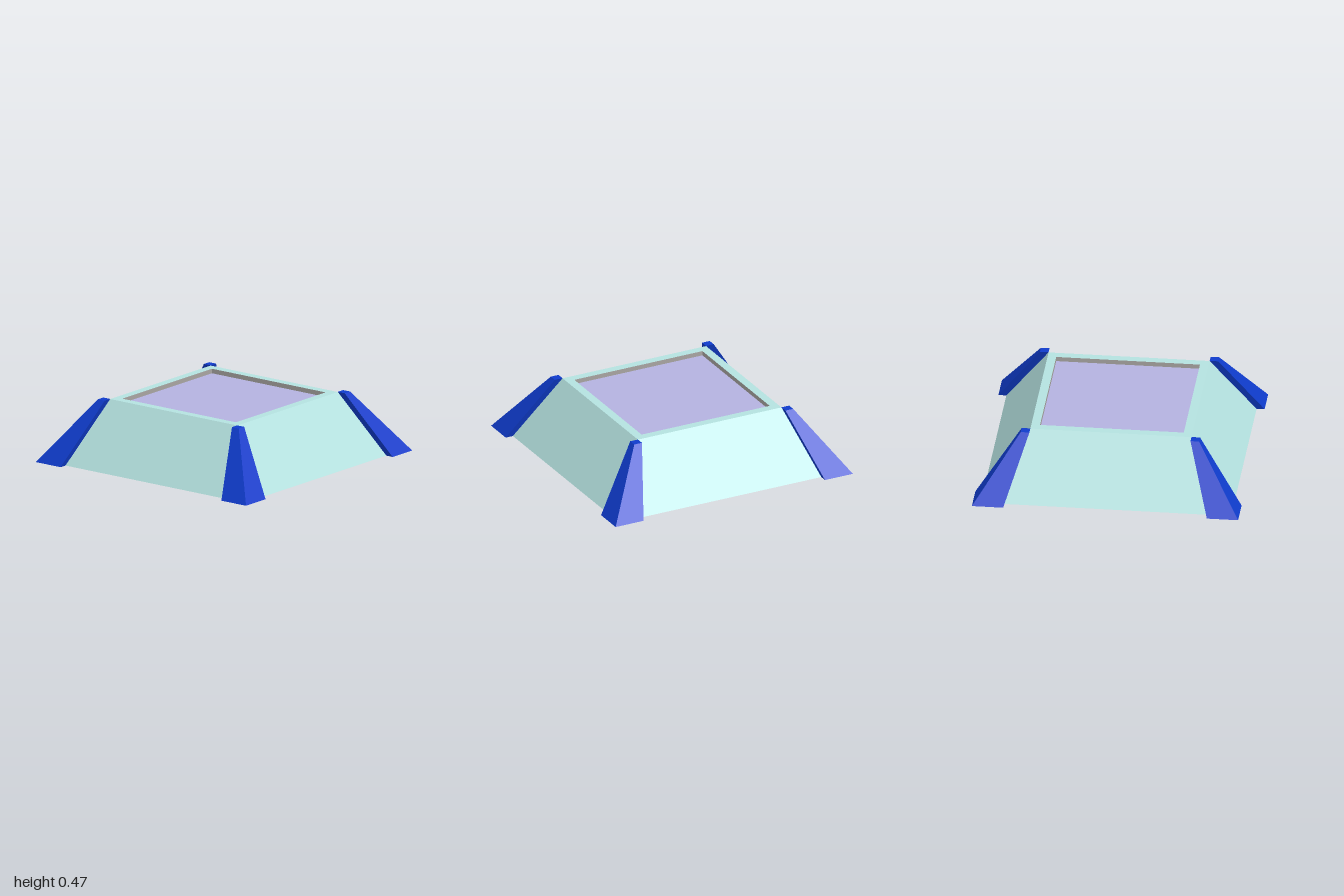
import * as THREE from 'three';

const HEIGHT = 0.47, TOP = 0.605, BASE = 0.94, INNER = 0.54, PANEL_Y = 0.435;

function material(name, color, side = THREE.FrontSide) {
  const m = new THREE.MeshStandardMaterial({ color, side });
  m.name = name;
  return m;
}

// Open four-sided ring of walls between two square outlines
function squareWalls(topHalf, bottomHalf, y0, y1) {
  const g = new THREE.CylinderGeometry(topHalf * Math.SQRT2, bottomHalf * Math.SQRT2, y1 - y0, 4, 1, true)
    .rotateY(Math.PI / 4)
    .translate(0, (y0 + y1) / 2, 0)
    .toNonIndexed();
  g.computeVertexNormals();
  return g;
}

// Square leg that narrows and leans inwards towards the top
function legGeometry(sx, sz) {
  const g = new THREE.BoxGeometry(2, 2, 2);
  const p = g.attributes.position;
  for (let i = 0; i < p.count; i++) {
    const up = p.getY(i) > 0;
    const centre = up ? 0.6375 : 0.8825;
    const half = up ? 0.0325 : 0.1175;
    p.setXYZ(i, sx * centre + p.getX(i) * half, up ? HEIGHT + 0.001 : 0, sz * centre + p.getZ(i) * half);
  }
  g.computeVertexNormals();
  return g;
}

export function createModel() {
  const model = new THREE.Group();
  const teal = material('pale teal', 0xb4e1df, THREE.DoubleSide);
  const blue = material('deep blue', 0x0f3bcb);
  const grey = material('warm grey', 0xa8a5a2, THREE.DoubleSide);
  const lilac = material('lilac', 0xb4b2df);

  const add = (name, geometry, mat) => {
    const mesh = new THREE.Mesh(geometry, mat);
    mesh.name = name;
    model.add(mesh);
  };

  // Sloping sheet walls
  add('slopingWalls', squareWalls(TOP, BASE, 0, HEIGHT), teal);

  // Flat rim around the recess
  const square = (h) => [[-h, -h], [h, -h], [h, h], [-h, h]].map(([x, y]) => new THREE.Vector2(x, y));
  const rim = new THREE.Shape(square(TOP));
  rim.holes.push(new THREE.Path(square(INNER).reverse()));
  add('topRim', new THREE.ShapeGeometry(rim).rotateX(-Math.PI / 2).translate(0, HEIGHT, 0), teal);

  // Recess sides and the sunken panel
  add('recessSides', squareWalls(INNER, INNER, PANEL_Y, HEIGHT), grey);
  add('sunkenPanel', new THREE.BoxGeometry(INNER * 2, 0.006, INNER * 2).translate(0, PANEL_Y - 0.003, 0), lilac);

  // Corner legs
  for (const sx of [-1, 1]) {
    for (const sz of [-1, 1]) {
      add(`${sz > 0 ? 'front' : 'back'}${sx > 0 ? 'Left' : 'Right'}Leg`, legGeometry(sx, sz), blue);
    }
  }
  return model;
}
